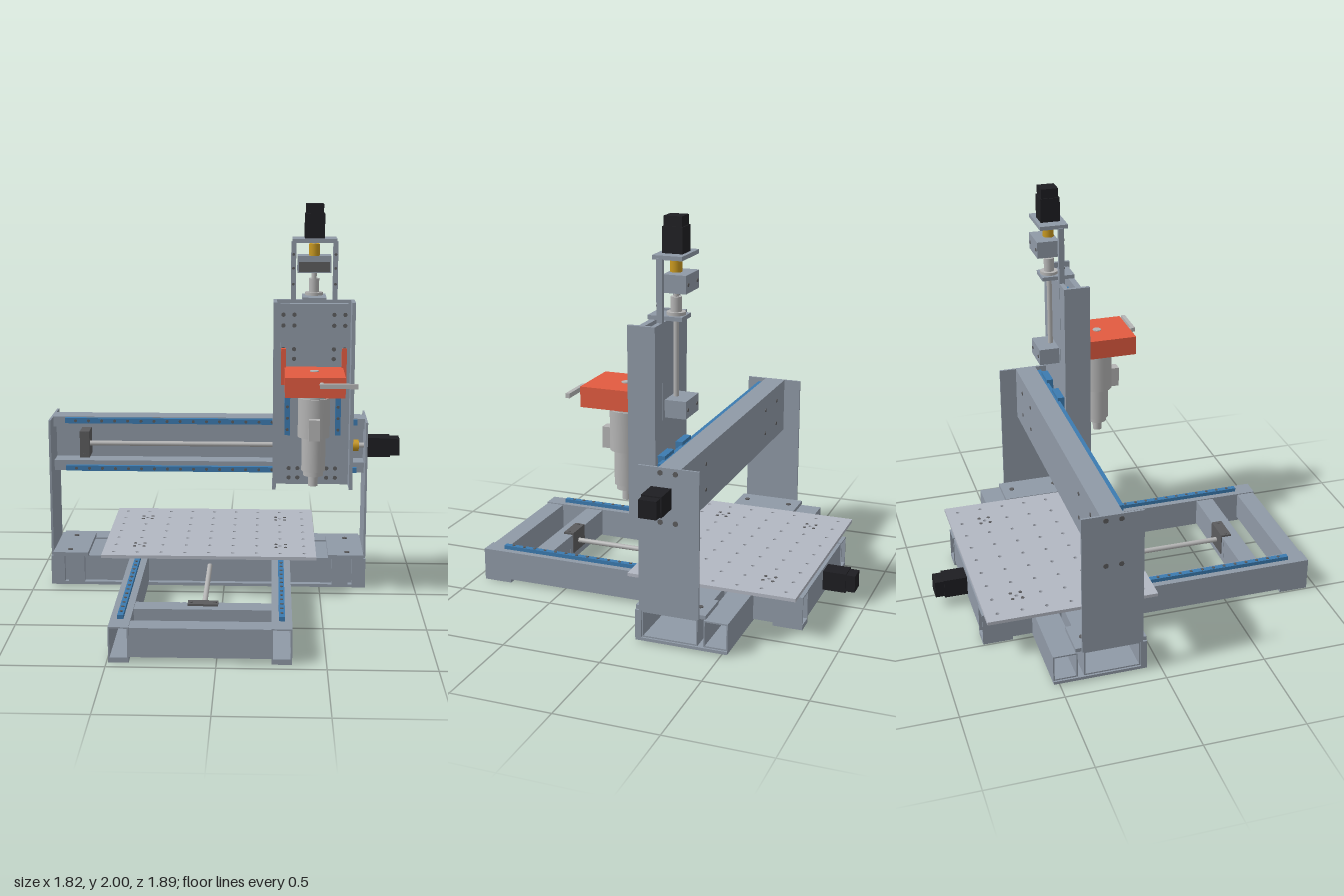
import * as THREE from 'three';

const paint = (color) => new THREE.MeshStandardMaterial({ color });
const steel = paint(0x8f99a6), plateMat = paint(0xb2b7c2), blue = paint(0x3c7bb0), red = paint(0xe25b40);
const black = paint(0x1e1e22), gold = paint(0xc8981f), silver = paint(0xb4b4b4), dark = paint(0x5c5c5e);

export function createModel() {
  const root = new THREE.Group();
  const add = (name, geo, mat, x = 0, y = 0, z = 0, parent = root) => {
    const m = new THREE.Mesh(geo, mat);
    m.name = name;
    m.position.set(x, y, z);
    parent.add(m);
    return m;
  };
  // Box given by its extents on each axis
  const box = (name, mat, x0, x1, y0, y1, z0, z1) =>
    add(name, new THREE.BoxGeometry(x1 - x0, y1 - y0, z1 - z0), mat, (x0 + x1) / 2, (y0 + y1) / 2, (z0 + z1) / 2);
  // Cylinder between two values along an axis; a and b are the other two coordinates in x,y,z order
  const rod = (name, mat, axis, r, from, to, a, b, seg = 24, r2 = r) => {
    const geo = new THREE.CylinderGeometry(r2, r, to - from, seg);
    const mid = (from + to) / 2;
    if (axis === 'x') return add(name, geo.rotateZ(-Math.PI / 2), mat, mid, a, b);
    if (axis === 'z') return add(name, geo.rotateX(Math.PI / 2), mat, a, b, mid);
    return add(name, geo, mat, a, mid, b);
  };
  const bolt = (axis, x, y, z, r = 0.009) => {
    const h = 0.003;
    if (axis === 'x') rod('bolt', dark, 'x', r, x - h, x + h, y, z, 10);
    else if (axis === 'y') rod('bolt', dark, 'y', r, y - h, y + h, x, z, 10);
    else rod('bolt', dark, 'z', r, z - h, z + h, x, y, 10);
  };
  const rect = (T, x0, x1, y0, y1) => {
    const s = new T();
    s.moveTo(x0, y0); s.lineTo(x1, y0); s.lineTo(x1, y1); s.lineTo(x0, y1); s.closePath();
    return s;
  };
  // Hollow square tube, open at both ends, along x or z
  const tube = (name, axis, x0, x1, y0, y1, z0, z1, t = 0.007) => {
    const w = axis === 'z' ? x1 - x0 : z1 - z0, h = y1 - y0, len = axis === 'z' ? z1 - z0 : x1 - x0;
    const s = rect(THREE.Shape, -w / 2, w / 2, -h / 2, h / 2);
    s.holes.push(rect(THREE.Path, -w / 2 + t, w / 2 - t, -h / 2 + t, h / 2 - t));
    const geo = new THREE.ExtrudeGeometry(s, { depth: len, bevelEnabled: false }).translate(0, 0, -len / 2);
    if (axis === 'x') geo.rotateY(Math.PI / 2);
    add(name, geo, steel, (x0 + x1) / 2, (y0 + y1) / 2, (z0 + z1) / 2);
  };
  // Stepper motor whose body grows along +y of its group
  const motor = (name, x, y, z, len, rx, rz) => {
    const g = new THREE.Group();
    g.name = name;
    const s = rect(THREE.Shape, -0.048, 0.048, -0.048, 0.048);
    add('motorBody', new THREE.BoxGeometry(0.1, len * 0.72, 0.1), black, 0, len * 0.36, 0, g);
    add('motorCap', new THREE.BoxGeometry(0.088, len * 0.28, 0.088), black, 0, len * 0.86, 0, g);
    g.position.set(x, y, z);
    g.rotation.set(rx, 0, rz);
    root.add(g);
  };

  // Base frame: two open side tubes with cross tubes between
  const railX = [-0.445, 0.297], screwX = -0.075;
  for (const x of railX) {
    tube('sideTube', 'z', x - 0.047, x + 0.047, 0.018, 0.17, -0.78, 0.95);
    box('foot', steel, x - 0.047, x + 0.047, 0, 0.018, 0.8, 0.95);
    box('foot', steel, x - 0.047, x + 0.047, 0, 0.018, -0.78, -0.63);
    // Table guide rail and carriages
    box('tableRail', blue, x - 0.014, x + 0.014, 0.17, 0.19, -0.68, 0.85);
    for (let z = -0.64; z < 0.85; z += 0.06) bolt('y', x, 0.19, z, 0.008);
    for (const z of [-0.595, -0.1]) box('tableCarriage', blue, x - 0.034, x + 0.034, 0.178, 0.205, z - 0.06, z + 0.06);
  }
  tube('frontCrossTube', 'x', -0.398, 0.25, 0.025, 0.165, 0.85, 0.945);
  tube('middleCrossTube', 'x', -0.398, 0.25, 0.025, 0.165, 0.605, 0.70);
  tube('backCrossTube', 'x', -0.398, 0.25, 0.025, 0.165, -0.775, -0.68);

  // Gantry base between and outside the side tubes
  box('basePlate', steel, -0.91, 0.74, 0.01, 0.025, -0.53, -0.07);
  for (const [a, b] of [[-0.9, -0.492], [-0.398, 0.25], [0.344, 0.73]]) {
    tube('baseFrontTube', 'x', a, b, 0.025, 0.16, -0.38, -0.1);
    tube('baseBackTube', 'x', a, b, 0.025, 0.16, -0.53, -0.41);
  }

  // Gantry uprights and their foot brackets
  for (const s of [-1, 1]) {
    const e = s < 0 ? -0.91 : 0.74;
    const span = (u, v) => [Math.min(e - s * u, e - s * v), Math.max(e - s * u, e - s * v)];
    box('gantryUpright', steel, ...span(0, 0.011), 0.165, 0.89, -0.39, -0.09);
    box('bracketTop', steel, ...span(0.011, 0.195), 0.165, 0.185, -0.42, -0.07);
    box('bracketWing', steel, ...span(0, 0.07), 0.025, 0.165, -0.1, -0.07);
    box('bracketWing', steel, ...span(0.09, 0.175), 0.025, 0.165, -0.1, -0.07);
    for (const z of [-0.2, -0.275]) for (const y of [0.865, 0.625]) bolt('x', e, y, z, 0.013);
    for (const z of [-0.365, -0.12]) bolt('y', e - s * 0.095, 0.186, z, 0.014);
  }

  // Gantry beam: channel of two tubes and a back plate, with rails
  box('beamBack', steel, -0.9, 0.73, 0.6, 0.89, -0.3, -0.285);
  for (const [y0, y1, yr] of [[0.835, 0.89, 0.873], [0.6, 0.655, 0.617]]) {
    box('beamFlange', steel, -0.9, 0.73, y0, y1, -0.285, -0.19);
    box('gantryRail', blue, -0.835, 0.69, yr - 0.014, yr + 0.014, -0.19, -0.168);
    for (let x = -0.78; x < 0.68; x += 0.0685) bolt('z', x, yr, -0.168, 0.008);
    for (const x of [0.34, 0.57]) box('gantryCarriage', blue, x - 0.06, x + 0.06, yr - 0.032, yr + 0.032, -0.18, -0.145);
  }
  for (const x of [-0.75, -0.55, 0.4, 0.58]) for (const y of [0.68, 0.81]) bolt('z', x, y, -0.3, 0.01);
  rod('gantryScrew', silver, 'x', 0.013, -0.76, 0.74, 0.745, -0.205);
  box('gantryBearing', dark, -0.76, -0.71, 0.675, 0.815, -0.285, -0.17);
  for (const y of [0.69, 0.8]) bolt('z', -0.735, y, -0.17, 0.01);
  rod('gantryCoupler', gold, 'x', 0.03, 0.655, 0.7, 0.745, -0.205);
  motor('gantryMotor', 0.74, 0.745, -0.205, 0.17, 0, -Math.PI / 2);

  // Table with a grid of holes
  const top = rect(THREE.Shape, -0.627, 0.478, -0.08, 0.78);
  for (let i = 0; i < 9; i++) for (let j = 0; j < 7; j++) {
    const h = new THREE.Path();
    h.absarc(-0.568 + i * 0.1233, -0.022 + j * 0.1233, 0.01, 0, Math.PI * 2, true);
    top.holes.push(h);
  }
  add('table', new THREE.ExtrudeGeometry(top, { depth: 0.017, bevelEnabled: false, curveSegments: 5 }).rotateX(-Math.PI / 2), plateMat, 0, 0.205, 0);
  for (const x of railX) for (const z of [-0.595, -0.1]) for (const a of [-1, 1]) for (const b of [-1, 1])
    bolt('y', x + a * 0.025, 0.221, z + b * 0.025);

  // Table drive
  rod('tableScrew', silver, 'z', 0.013, -0.78, 0.65, screwX, 0.11);
  box('tableNutBlock', steel, screwX - 0.073, screwX + 0.073, 0.08, 0.205, -0.46, -0.34);
  box('tableBearingSeat', steel, screwX - 0.1, screwX + 0.1, 0.05, 0.165, 0.604, 0.665);
  box('tableBearing', dark, screwX - 0.072, screwX + 0.072, 0.06, 0.175, 0.6, 0.655);
  for (const s of [-1, 1]) bolt('y', screwX + s * 0.057, 0.176, 0.63);
  rod('tableCoupler', gold, 'z', 0.03, -0.66, -0.58, screwX, 0.11);
  motor('tableMotor', screwX, 0.11, -0.78, 0.165, -Math.PI / 2, 0);

  // Vertical axis: channel, rails and sliding plate
  const cx = 0.455, zs = -0.17;
  box('channelWeb', steel, 0.25, 0.66, 0.555, 1.52, -0.145, -0.122);
  box('slidePlate', steel, cx - 0.17, cx + 0.17, 1.09, 1.51, -0.075, -0.045);
  for (const s of [-1, 1]) {
    const side = (name, mat, u, v, ...r) => box(name, mat, Math.min(cx + s * u, cx + s * v), Math.max(cx + s * u, cx + s * v), ...r);
    side('channelFlange', steel, 0.187, 0.205, 0.555, 1.52, -0.122, -0.01);
    side('verticalRail', blue, 0.116, 0.144, 0.82, 1.5, -0.122, -0.1);
    for (let y = 0.85; y < 1.1; y += 0.06) bolt('z', cx + s * 0.13, y, -0.1, 0.008);
    for (const y of [1.2, 1.42]) side('verticalCarriage', blue, 0.097, 0.163, y - 0.06, y + 0.06, -0.11, -0.075);
    for (const u of [0.1, 0.155]) for (const y of [1.455, 1.4, 1.28, 1.23]) bolt('z', cx + s * u, y, -0.045, 0.011);
    for (const u of [0.075, 0.12]) for (const y of [0.64, 0.59]) bolt('z', cx + s * u, y, -0.122, 0.011);
    side('motorPost', steel, 0.093, 0.118, 1.06, 1.815, -0.146, -0.118);
    for (const y of [1.6, 1.68, 1.75]) bolt('z', cx + s * 0.106, y, -0.118, 0.007);
    side('holderEar', red, 0.14, 0.165, 1.1, 1.285, -0.045, -0.02);
  }

  // Vertical drive
  box('motorPlate', steel, cx - 0.112, cx + 0.112, 1.81, 1.83, -0.24, -0.095);
  motor('verticalMotor', cx, 1.83, zs, 0.17, 0, 0);
  rod('verticalCoupler', gold, 'y', 0.028, 1.74, 1.8, cx, zs);
  rod('motorShaft', silver, 'y', 0.01, 1.79, 1.83, cx, zs);
  rod('verticalScrew', silver, 'y', 0.013, 1.07, 1.75, cx, zs);
  for (const y of [1.655, 1.065]) {
    box('verticalBearing', steel, cx - 0.085, cx + 0.085, y, y + 0.085, -0.25, -0.137);
    box('bearingFace', dark, cx - 0.078, cx + 0.078, y + 0.005, y + 0.055, -0.15, -0.132);
    for (const s of [-1, 1]) {
      bolt('z', cx + s * 0.06, y + 0.03, -0.132);
      bolt('z', cx + s * 0.06, y + 0.04, -0.25);
    }
  }
  box('nutPlate', steel, cx - 0.06, cx + 0.06, 1.52, 1.54, -0.22, -0.05);
  rod('nutFlange', silver, 'y', 0.045, 1.54, 1.555, cx, zs);
  rod('screwNut', silver, 'y', 0.026, 1.555, 1.625, cx, zs);

  // Spindle, its holder and clamp lever
  const sz = 0.085;
  box('spindleHolder', red, cx - 0.147, cx + 0.147, 1.09, 1.19, -0.045, 0.257);
  rod('spindleCap', silver, 'y', 0.022, 1.185, 1.194, cx, sz);
  rod('leverPivot', silver, 'z', 0.012, 0.257, 0.3, 0.487, 1.157);
  box('clampLever', silver, 0.475, 0.66, 1.145, 1.168, 0.285, 0.305);
  const profile = [[0, 0.605], [0.024, 0.605], [0.024, 0.66], [0.05, 0.66], [0.05, 0.685], [0.06, 0.685], [0.06, 0.86],
    [0.08, 0.86], [0.08, 1.06], [0.07, 1.06], [0.07, 1.1]];
  // Each step is its own section so that edges stay sharp
  for (let i = 1; i < profile.length; i++)
    add('spindleBody', new THREE.LatheGeometry([profile[i - 1], profile[i]].map(([r, y]) => new THREE.Vector2(r, y)), 32), silver, cx, 0, sz);
  box('spindleSwitchBox', silver, cx - 0.027, cx + 0.027, 0.86, 0.965, 0.15, 0.2);
  return root;
}
